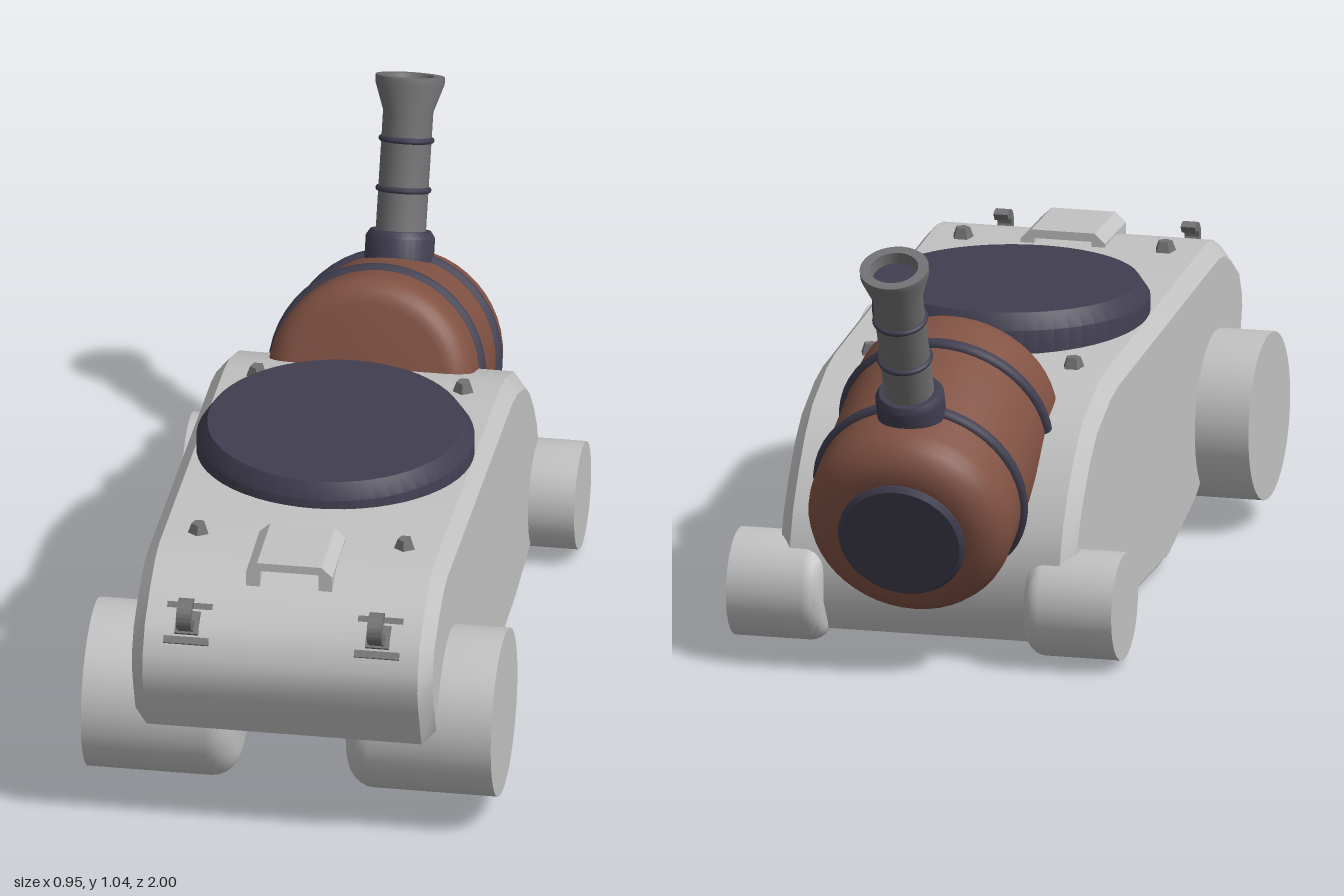
import * as THREE from 'three';
import { toCreasedNormals } from 'three/addons/utils/BufferGeometryUtils.js';

const mat = (name, color) => {
  const m = new THREE.MeshStandardMaterial({ color });
  m.name = name;
  return m;
};

export function createModel() {
  const shell = mat('pale grey', 0xc2c2c2);
  const navy = mat('dark navy', 0x403e50);
  const brown = mat('brown', 0x815243);
  const steel = mat('steel grey', 0x737173);
  const model = new THREE.Group();
  model.name = 'vehicle';

  const add = (parent, name, geometry, material, x = 0, y = 0, z = 0) => {
    const mesh = new THREE.Mesh(geometry, material);
    mesh.name = name;
    mesh.position.set(x, y, z);
    parent.add(mesh);
    return mesh;
  };
  const vectors = (pts) => pts.map(([a, b]) => new THREE.Vector2(a, b));
  // Turned part around the y axis, profile listed from bottom to top
  const turned = (pts, sides = 40) =>
    toCreasedNormals(new THREE.LatheGeometry(vectors(pts), sides), 0.6);
  // Quarter-round corner points for a turned profile
  const corner = (cx, cy, r, from, to, n = 6) =>
    Array.from({ length: n + 1 }, (_, i) => {
      const a = from + ((to - from) * i) / n;
      return [cx + r * Math.cos(a), cy + r * Math.sin(a)];
    });
  // Side profile in (z, y), extruded across x and centred
  const acrossX = (shape, width, bevel = 0, inset = 0) => {
    const depth = width - 2 * bevel;
    const g = new THREE.ExtrudeGeometry(shape, {
      depth, curveSegments: 14, bevelEnabled: bevel > 0,
      bevelThickness: bevel, bevelSize: inset, bevelOffset: -inset, bevelSegments: 1,
    });
    g.translate(0, 0, -depth / 2);
    g.rotateY(-Math.PI / 2);
    return toCreasedNormals(g, 0.6);
  };
  const H = Math.PI / 2;

  // Hull with chamfered sides
  const hull = new THREE.Shape(vectors([
    [0.26, 0], [0.52, 0.07], [0.915, 0.275], [0.96, 0.38], [0.978, 0.44], [0.972, 0.485],
    [0.94, 0.55], [0.86, 0.605], [0.79, 0.638], [0.73, 0.648], [-0.22, 0.595], [-0.3, 0.58],
    [-0.43, 0.53], [-0.5, 0.475], [-0.56, 0.405], [-0.61, 0.33], [-0.645, 0.24],
    [-0.64, 0.12], [-0.59, 0.045], [-0.5, 0.02], [-0.28, 0],
  ]));
  add(model, 'hull', acrossX(hull, 0.7, 0.03, 0.035), shell);

  // Round hatch on top
  add(model, 'roofHatch', turned([
    [0, 0.56], [0.32, 0.56], [0.32, 0.655], [0.295, 0.692], [0, 0.692],
  ], 56), navy, 0, 0, 0.165);

  // Wheels, rounded on their inner ends
  const wheel = (r, round, length) => turned([
    [0, 0], ...corner(r - round, round, round, -H, 0), [r, length], [0, length],
  ], 48);
  const frontWheel = wheel(0.195, 0.06, 0.347);
  const rearWheel = wheel(0.125, 0.04, 0.217);
  for (const s of [1, -1]) {
    const side = s > 0 ? 'left' : 'right';
    add(model, side + 'FrontWheel', frontWheel, shell, s * 0.13, 0.255, 0.695).rotation.z = -s * H;
    add(model, side + 'RearWheel', rearWheel, shell, s * 0.24, 0.14, -0.575).rotation.z = -s * H;
  }

  // Arched cover on the nose
  const arch = new THREE.Shape(vectors([
    [-0.1, 0.59], [-0.068, 0.59], [-0.068, 0.655], [0.068, 0.655], [0.068, 0.59],
    [0.1, 0.59], [0.1, 0.652], [0.075, 0.675], [-0.075, 0.675], [-0.1, 0.652],
  ]));
  add(model, 'noseCover', new THREE.ExtrudeGeometry(arch, { depth: 0.195, bevelEnabled: false }),
    shell, 0, 0, 0.645);

  // Tow hooks on square plates
  const hook = new THREE.Shape();
  hook.absarc(0.958, 0.592, 0.037, 2.2, -1.1, true);
  hook.lineTo(0.9, 0.51);
  hook.lineTo(0.885, 0.54);
  hook.absarc(0.958, 0.592, 0.016, -1.1, 2.2, false);
  const hookGeometry = acrossX(hook, 0.034);
  for (const s of [1, -1]) {
    const tow = new THREE.Group();
    tow.name = s > 0 ? 'leftTowHook' : 'rightTowHook';
    tow.position.x = s * 0.222;
    model.add(tow);
    add(tow, 'plate', new THREE.BoxGeometry(0.105, 0.1, 0.025), steel, 0, 0.543, 0.918).rotation.x = -0.8;
    add(tow, 'pad', new THREE.BoxGeometry(0.055, 0.055, 0.02), steel, 0, 0.552, 0.928).rotation.x = -0.8;
    add(tow, 'hook', hookGeometry, steel);
  }

  // Five-sided bolts
  const bolt = toCreasedNormals(new THREE.CylinderGeometry(0.017, 0.028, 0.03, 5), 0.3);
  for (const x of [-0.24, 0.24]) {
    add(model, 'rearBolt', bolt, steel, x, 0.605, -0.2);
    add(model, 'frontBolt', bolt, steel, x, 0.652, 0.655);
  }

  // Tilted tank at the back, its local y pointing rearward and down
  const tank = new THREE.Group();
  tank.name = 'tank';
  tank.position.set(0, 0.445, -0.577);
  tank.rotation.x = THREE.MathUtils.degToRad(-110);
  model.add(tank);
  add(tank, 'tankBody', turned([
    [0, -0.3], ...corner(0.18, -0.24, 0.06, -H, 0), ...corner(0.15, 0.205, 0.09, 0, H), [0, 0.295],
  ], 48), brown);
  add(tank, 'tankEndCap', turned([
    [0, 0.28], [0.15, 0.28], [0.15, 0.3], [0.14, 0.31], [0, 0.31],
  ], 40), navy);
  for (const y of [-0.145, 0.11]) {
    add(tank, 'tankBand', new THREE.TorusGeometry(0.238, 0.016, 10, 48), navy, 0, y, 0).rotation.x = H;
  }

  // Chimney leaning backward, open at the flared top
  const chimney = new THREE.Group();
  chimney.name = 'chimney';
  chimney.position.set(0, 0.64, -0.77);
  chimney.rotation.x = THREE.MathUtils.degToRad(-23);
  model.add(chimney);
  add(chimney, 'collar', turned([
    [0, -0.06], [0.08, -0.06], [0.08, 0.03], [0.07, 0.045], [0, 0.045],
  ], 32), navy);
  add(chimney, 'pipe', turned([
    [0.058, 0], [0.058, 0.32], [0.08, 0.385], [0.08, 0.402], [0.056, 0.402], [0.05, 0.36],
  ], 32), steel);
  add(chimney, 'pipeOpening', new THREE.CircleGeometry(0.054, 32), navy, 0, 0.375, 0).rotation.x = -H;
  for (const y of [0.14, 0.255]) {
    add(chimney, 'pipeRing', new THREE.TorusGeometry(0.058, 0.007, 8, 32), navy, 0, y, 0).rotation.x = H;
  }
  return model;
}
